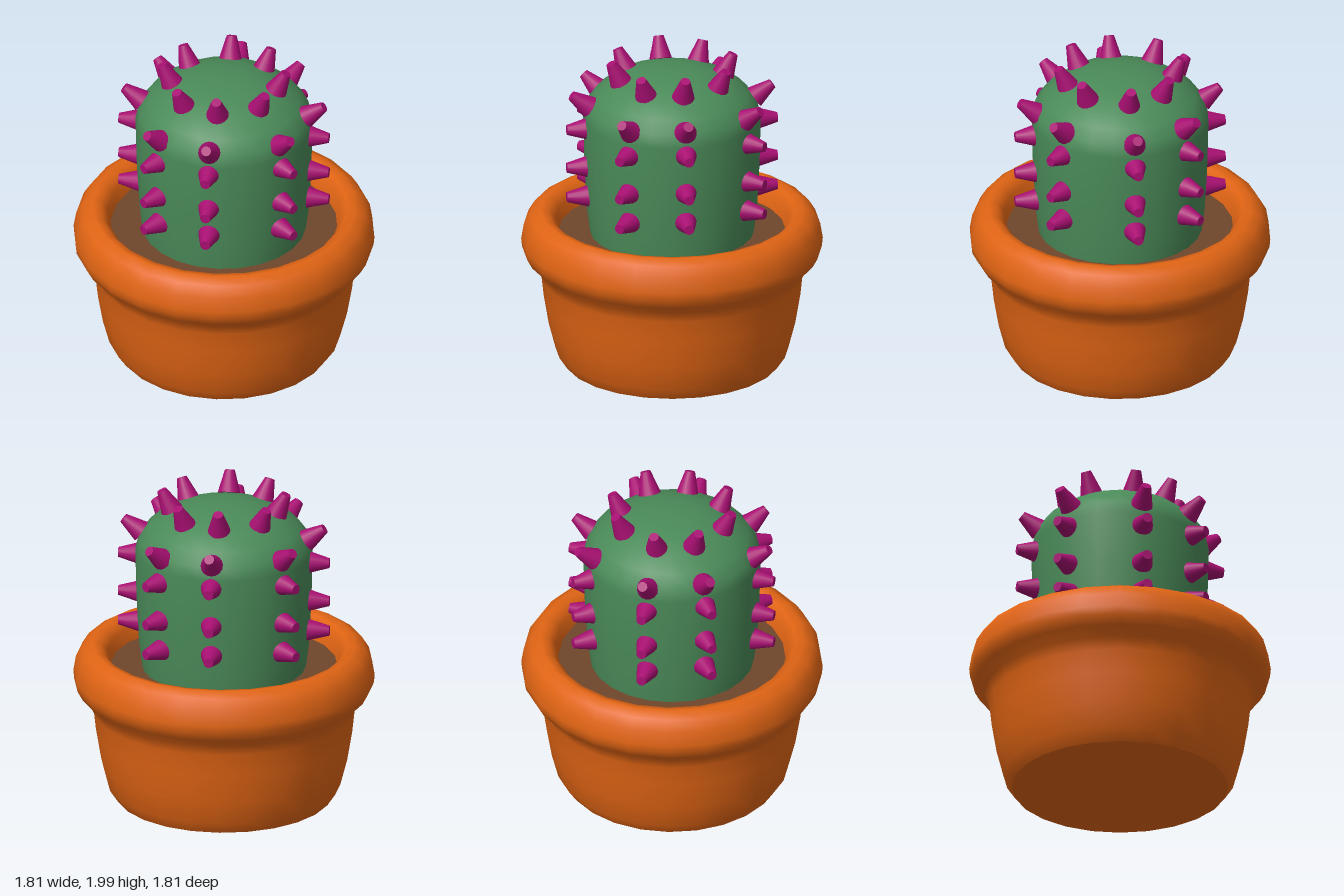
import * as THREE from 'three';

const SIDES = 24;
const paint = (color) => new THREE.MeshStandardMaterial({ color });

// Round part turned from a profile of [radius, height] points
function turned(name, profile, material) {
  const points = profile.map(([r, y]) => new THREE.Vector2(r, y));
  const mesh = new THREE.Mesh(new THREE.LatheGeometry(points, SIDES), material);
  mesh.name = name;
  return mesh;
}

export function createModel() {
  const model = new THREE.Group();
  model.name = 'pottedCactus';
  const clay = paint(0xe06414);
  const green = paint(0x4a8a58);
  const pink = paint(0xa80f72);

  // Pot: wall with rolled rim, and a slightly domed base with a crisp edge
  const pot = new THREE.Group();
  pot.name = 'pot';
  pot.add(turned('potWall', [
    [0.65, 0.05], [0.7, 0.125], [0.74, 0.28], [0.77, 0.46], [0.785, 0.6],
    [0.815, 0.67], [0.87, 0.725], [0.9, 0.78], [0.905, 0.83], [0.89, 0.92],
    [0.85, 0.985], [0.79, 1.017], [0.74, 1.005], [0.7, 0.96], [0.68, 0.87],
  ], clay));
  pot.add(turned('potBase', [[0, 0.01], [0.54, 0.025], [0.65, 0.05]], clay));
  model.add(pot);

  // Soil
  const soil = new THREE.Mesh(new THREE.CircleGeometry(0.69, SIDES, Math.PI / 2), paint(0x70472b));
  soil.name = 'soil';
  soil.rotation.x = -Math.PI / 2;
  soil.position.y = 0.88;
  model.add(soil);

  // Cactus body
  model.add(turned('cactusBody', [
    [0.49, 0.86], [0.51, 1.02], [0.525, 1.3], [0.533, 1.62], [0.515, 1.7],
    [0.46, 1.775], [0.36, 1.85], [0.25, 1.893], [0.13, 1.918], [0, 1.922],
  ], green));

  // Spines: rows of blunt cones, each from base [radius, y] to tip [radius, y]
  const rows = [
    { base: [0.5, 1.11], tip: [0.64, 1.11], lift: 0.025, turn: 51 },
    { base: [0.505, 1.3], tip: [0.64, 1.3], lift: 0.025, turn: 51 },
    { base: [0.51, 1.545], tip: [0.64, 1.545], lift: 0.025, turn: 51 },
    { base: [0.5, 1.69], tip: [0.61, 1.77], lift: 0.02, turn: 51 },
    { base: [0.315, 1.855], tip: [0.375, 1.98], lift: 0.01, turn: 48 },
  ];
  const up = new THREE.Vector3(0, 1, 0);
  const spines = new THREE.Group();
  spines.name = 'spines';
  for (const { base, tip, lift, turn } of rows) {
    for (let i = 0; i < 8; i++) {
      const odd = i % 2;
      const angle = THREE.MathUtils.degToRad(Math.floor(i / 2) * 90 + odd * turn);
      const at = ([r, y]) =>
        new THREE.Vector3(r * Math.cos(angle), y + odd * lift, r * Math.sin(angle));
      const from = at(base);
      const to = at(tip);
      const spine = new THREE.Mesh(
        new THREE.CylinderGeometry(0.03, 0.068, from.distanceTo(to), 16), pink);
      spine.name = 'spine';
      spine.position.copy(from).lerp(to, 0.5);
      spine.quaternion.setFromUnitVectors(up, to.sub(from).normalize());
      spines.add(spine);
    }
  }
  model.add(spines);
  return model;
}
